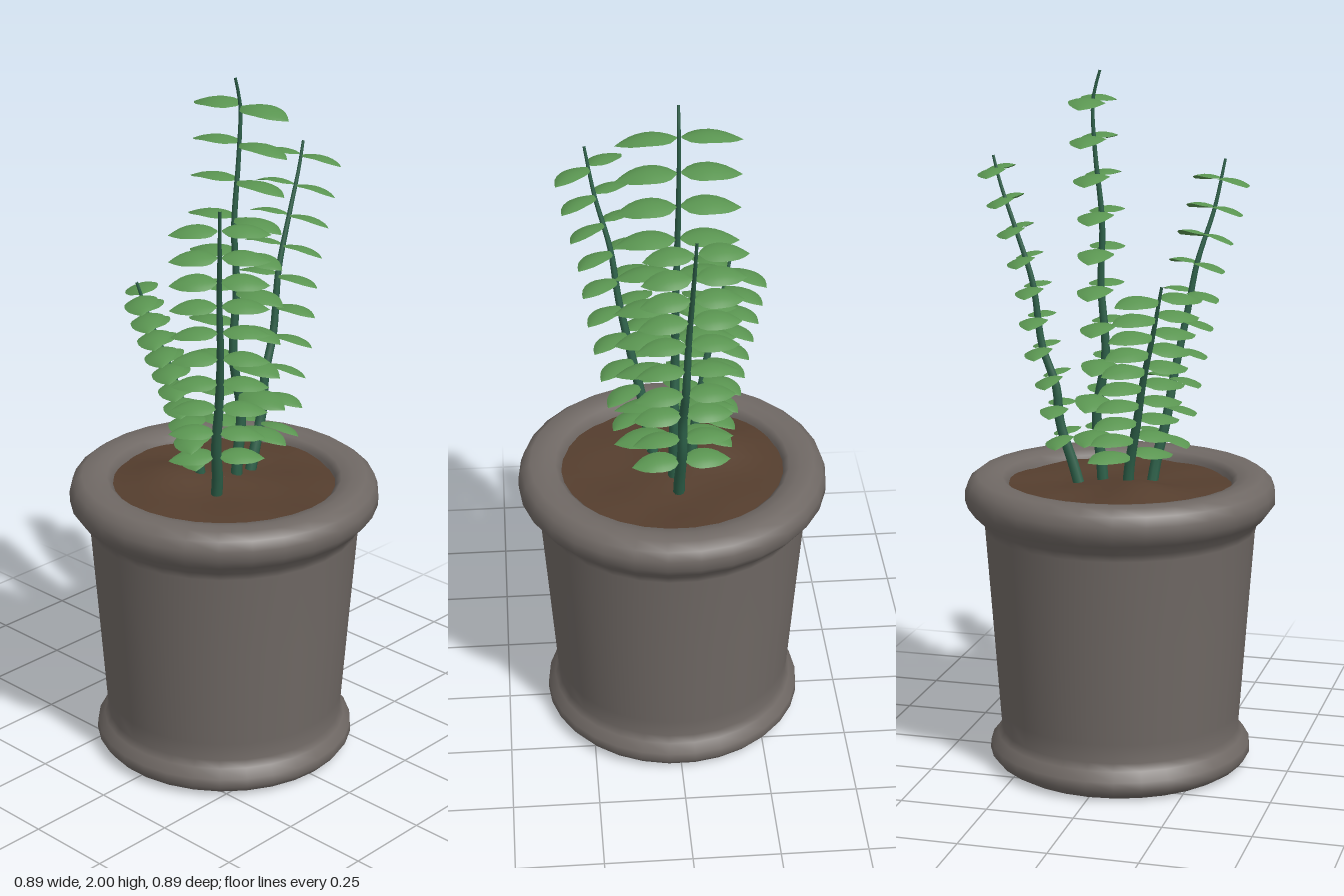
import * as THREE from 'three';
import { mergeGeometries } from 'three/addons/utils/BufferGeometryUtils.js';

const v3 = (p) => new THREE.Vector3(...p);

function material(name, color, side = THREE.FrontSide) {
  const m = new THREE.MeshStandardMaterial({ color, side });
  m.name = name;
  return m;
}

// Tapered stem: a tube whose rings shrink towards the tip
function stemGeometry(curve, r0, r1) {
  const rings = 32, sides = 8;
  const g = new THREE.TubeGeometry(curve, rings, 1, sides, false);
  const pos = g.attributes.position, p = new THREE.Vector3();
  for (let i = 0; i < pos.count; i++) {
    const t = Math.floor(i / (sides + 1)) / rings;
    const c = curve.getPointAt(t);
    p.fromBufferAttribute(pos, i).sub(c).multiplyScalar(r0 + (r1 - r0) * t).add(c);
    pos.setXYZ(i, p.x, p.y, p.z);
  }
  return g;
}

// Domed, pointed leaf lying along +x with its upper side towards +y
const HALF_WIDTH = [0.12, 0.68, 0.92, 1, 0.98, 0.9, 0.73, 0.42, 0];
function leafGeometry(length, width) {
  const g = new THREE.PlaneGeometry(1, 1, 8, 6).rotateX(-Math.PI / 2);
  const pos = g.attributes.position;
  for (let i = 0; i < pos.count; i++) {
    const u = pos.getX(i) + 0.5, v = pos.getZ(i) * 2;
    const w = HALF_WIDTH[Math.round(u * 8)] * width / 2;
    const y = length * (0.08 * Math.sin(Math.PI * u) - 0.1 * u * u) - 0.22 * v * v * w;
    pos.setXYZ(i, u * length, y, v * w);
  }
  g.computeVertexNormals();
  return g;
}

// Path, sideways leaf direction, leaf count and size of each frond
const FRONDS = [
  { name: 'tallFrond', side: [0.05, 0, 1], pairs: 10, from: 0.15, to: 0.93, length: 0.165, width: 0.1,
    path: [[0.05, 0.8, 0], [0.055, 0.88, 0], [0.07, 1.02, 0], [0.042, 1.2, -0.005], [0.055, 1.4, -0.005],
      [0.05, 1.58, -0.01], [0.07, 1.78, -0.012], [0.075, 1.92, -0.012], [0.055, 2, -0.012]] },
  { name: 'rightLeaningFrond', side: [0.1, 0, 1], pairs: 10, from: 0.17, to: 0.96, length: 0.135, width: 0.08,
    path: [[0.115, 0.8, -0.01], [0.135, 0.87, -0.01], [0.175, 1, -0.015], [0.185, 1.1, -0.015], [0.225, 1.22, -0.02],
      [0.25, 1.4, -0.025], [0.3, 1.56, -0.03], [0.34, 1.68, -0.033], [0.36, 1.76, -0.035]] },
  { name: 'frontFrond', side: [0.7, 0, 0.7], pairs: 10, from: 0.17, to: 0.94, length: 0.13, width: 0.085,
    path: [[-0.08, 0.8, 0.045], [-0.09, 0.88, 0.06], [-0.115, 1, 0.08], [-0.13, 1.12, 0.105], [-0.16, 1.3, 0.14],
      [-0.185, 1.45, 0.16], [-0.225, 1.6, 0.2], [-0.25, 1.74, 0.225]] },
  { name: 'shortBackFrond', side: [0.7, 0, -0.7], pairs: 10, from: 0.2, to: 0.94, length: 0.135, width: 0.095,
    path: [[-0.035, 0.8, -0.055], [-0.045, 0.9, -0.065], [-0.07, 1.02, -0.085], [-0.095, 1.15, -0.11],
      [-0.13, 1.28, -0.145], [-0.165, 1.43, -0.18]] },
];

function createFrond(f, stemMat, leafMat) {
  const group = new THREE.Group();
  group.name = f.name;
  const curve = new THREE.CatmullRomCurve3(f.path.map(v3));
  const stem = new THREE.Mesh(stemGeometry(curve, 0.017, 0.004), stemMat);
  stem.name = 'stem';

  // Opposite leaf pairs, square to the stem
  const leaves = [], leaf = leafGeometry(f.length, f.width);
  for (let i = 0; i < f.pairs; i++) {
    const t = f.from + (f.to - f.from) * i / (f.pairs - 1);
    const point = curve.getPointAt(t);
    const up = curve.getTangentAt(t).add(new THREE.Vector3(0, 0.4, 0)).normalize();
    for (const sign of [1, -1]) {
      const out = v3(f.side).multiplyScalar(sign);
      out.addScaledVector(up, -out.dot(up)).normalize();
      const m = new THREE.Matrix4().makeBasis(out, up, out.clone().cross(up));
      m.setPosition(point.clone().addScaledVector(out, 0.006));
      leaves.push(leaf.clone().applyMatrix4(m));
    }
  }
  const foliage = new THREE.Mesh(mergeGeometries(leaves), leafMat);
  foliage.name = 'leaves';
  group.add(stem, foliage);
  return group;
}

// Soil disc with a low mound and gentle lumps
function soilGeometry() {
  const g = new THREE.RingGeometry(0.001, 0.33, 30, 8).rotateX(-Math.PI / 2);
  const pos = g.attributes.position;
  for (let i = 0; i < pos.count; i++) {
    const x = pos.getX(i), z = pos.getZ(i);
    const mound = 0.035 * Math.exp(-((x + 0.08) ** 2 + (z + 0.11) ** 2) / 0.015);
    pos.setY(i, 0.825 + mound + 0.006 * Math.sin(x * 21 + 1) * Math.cos(z * 17));
  }
  g.computeVertexNormals();
  return g;
}

export function createModel() {
  const model = new THREE.Group();
  model.name = 'pottedPlant';
  const potMat = material('potGrey', 0x706965);
  const soilMat = material('soilBrown', 0x553e2e, THREE.DoubleSide);
  const stemMat = material('stemGreen', 0x2d6049);
  const leafMat = material('leafGreen', 0x5a9551, THREE.DoubleSide);

  // Hollow pot: foot ring, tapered wall, rolled rim, inner wall
  const profile = [
    [0.25, 0.015], [0.28, 0.003], [0.34, 0], [0.365, 0.015], [0.38, 0.035], [0.378, 0.06], [0.358, 0.085],
    [0.346, 0.105], [0.35, 0.16], [0.37, 0.44], [0.389, 0.7], [0.395, 0.722], [0.425, 0.752], [0.445, 0.78],
    [0.445, 0.81], [0.435, 0.838], [0.41, 0.857], [0.37, 0.857], [0.338, 0.85], [0.322, 0.835], [0.318, 0.8],
    [0.305, 0.6], [0.275, 0.12], [0.245, 0.04], [0.25, 0.015],
  ].map(([r, y]) => new THREE.Vector2(r, y));
  const pot = new THREE.Mesh(new THREE.LatheGeometry(profile, 30), potMat);
  pot.name = 'pot';

  const soil = new THREE.Mesh(soilGeometry(), soilMat);
  soil.name = 'soil';

  model.add(pot, soil);
  for (const f of FRONDS) model.add(createFrond(f, stemMat, leafMat));
  return model;
}
